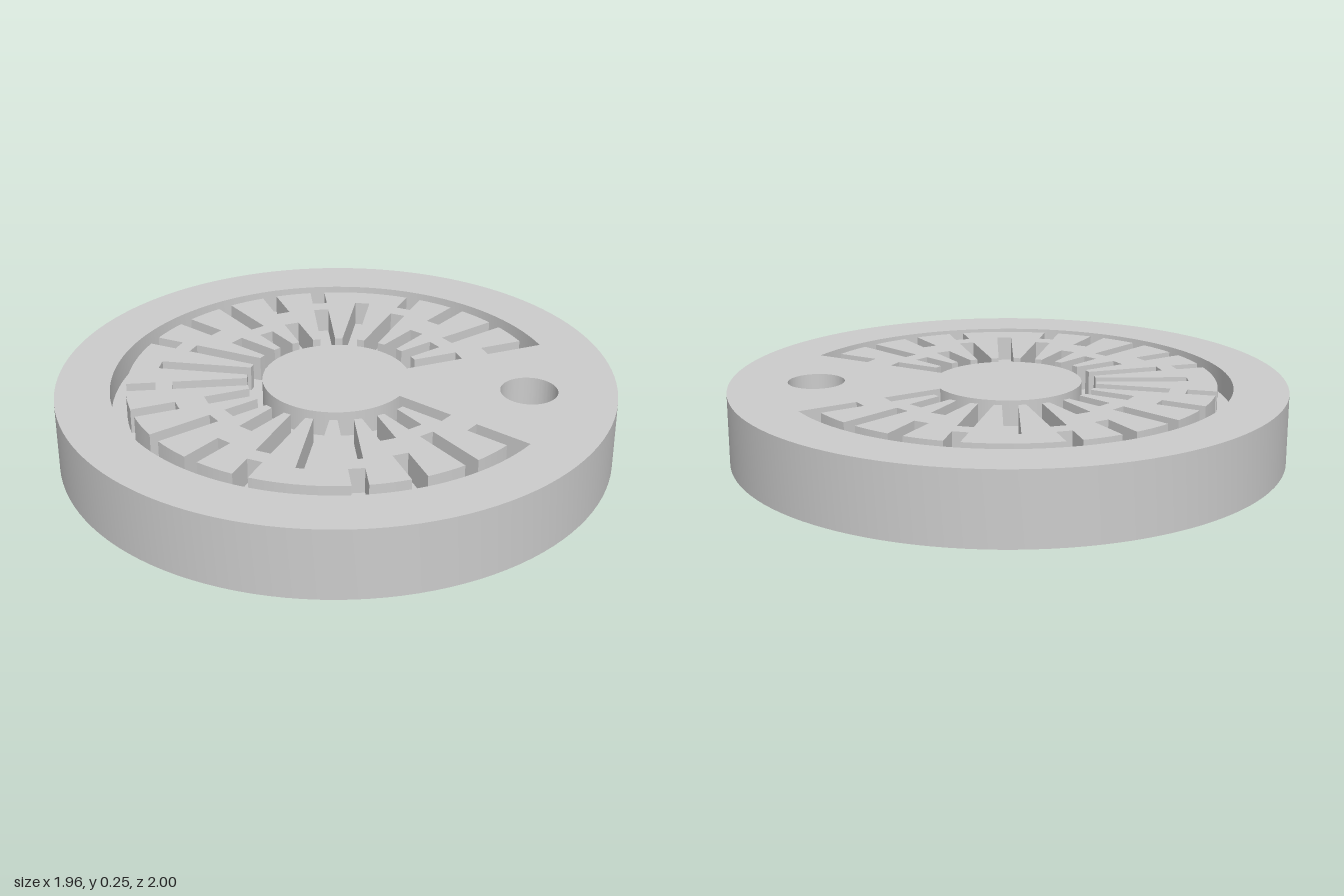
import * as THREE from 'three';
import { toCreasedNormals } from 'three/addons/utils/BufferGeometryUtils.js';

const HEIGHT = 0.25, FLOOR = 0.16;   // disc thickness, height of the groove floor
const HALF = 0.028;                  // half width of a slot
const SQUASH = 0.98;                 // the disc is slightly narrower across x
const rad = THREE.MathUtils.degToRad;

// Points along an arc about (cx, 0), roughly every three degrees
function arc(r, from, to, cx = 0) {
  const n = Math.max(1, Math.ceil(Math.abs(to - from) / rad(3)));
  return Array.from({ length: n + 1 }, (_, i) => {
    const a = from + (to - from) * i / n;
    return new THREE.Vector2(cx + r * Math.cos(a), r * Math.sin(a));
  });
}

function circle(r, cx = 0) {
  return arc(r, 0, Math.PI * 2, cx).slice(0, -1);
}

// Outline of a C-shaped groove with radial slots growing from its "near" edge.
// tipAt(step) gives the slot's end radius for each 15 degree step, or 0 for none.
function combGroove(far, near, tipAt) {
  const slots = [];
  for (let deg = 330; deg >= 30; deg -= 15) {
    const tip = tipAt((deg / 15) % 6);
    if (tip) slots.push({ a: rad(deg), tip });
  }
  const offFar = Math.asin(HALF / far), offNear = Math.asin(HALF / near);
  const points = arc(far, rad(30) - offFar, rad(330) + offFar);
  slots.forEach(({ a, tip }, i) => {
    const c = Math.cos(a), s = Math.sin(a);
    points.push(new THREE.Vector2(tip * c - HALF * s, tip * s + HALF * c));
    points.push(new THREE.Vector2(tip * c + HALF * s, tip * s - HALF * c));
    if (i < slots.length - 1) points.push(...arc(near, a - offNear, slots[i + 1].a + offNear));
  });
  return points;
}

export function createModel() {
  const group = new THREE.Group();
  const material = new THREE.MeshStandardMaterial({ color: 0xcccccc });

  // Upright extrusion with smooth curved walls and sharp edges
  function addSlab(name, shape, height) {
    let geometry = new THREE.ExtrudeGeometry(shape, { depth: height, bevelEnabled: false });
    geometry.rotateX(-Math.PI / 2);
    geometry.scale(SQUASH, 1, 1);
    geometry = toCreasedNormals(geometry, rad(25));
    const mesh = new THREE.Mesh(geometry, material);
    mesh.name = name;
    group.add(mesh);
  }

  // Slot ends repeat every quarter turn
  const outerTips = [0, 0.645, 0.59, 0.515, 0.59, 0.645];
  const innerTips = [0.65, 0.585, 0.485, 0.455, 0.485, 0.585];
  const outerGroove = combGroove(0.806, 0.75, k => outerTips[k]);
  const innerGroove = combGroove(0.265, 0.32, k => innerTips[k]);

  // Disc with the pin hole and both grooves cut out
  const disc = new THREE.Shape(circle(1));
  for (const outline of [circle(0.102, 0.69), outerGroove, innerGroove]) {
    disc.holes.push(new THREE.Path(outline));
  }
  addSlab('disc', disc, HEIGHT);

  // Floors that close the grooves from below
  addSlab('outerGrooveFloor', new THREE.Shape(outerGroove), FLOOR);
  addSlab('innerGrooveFloor', new THREE.Shape(innerGroove), FLOOR);

  return group;
}
